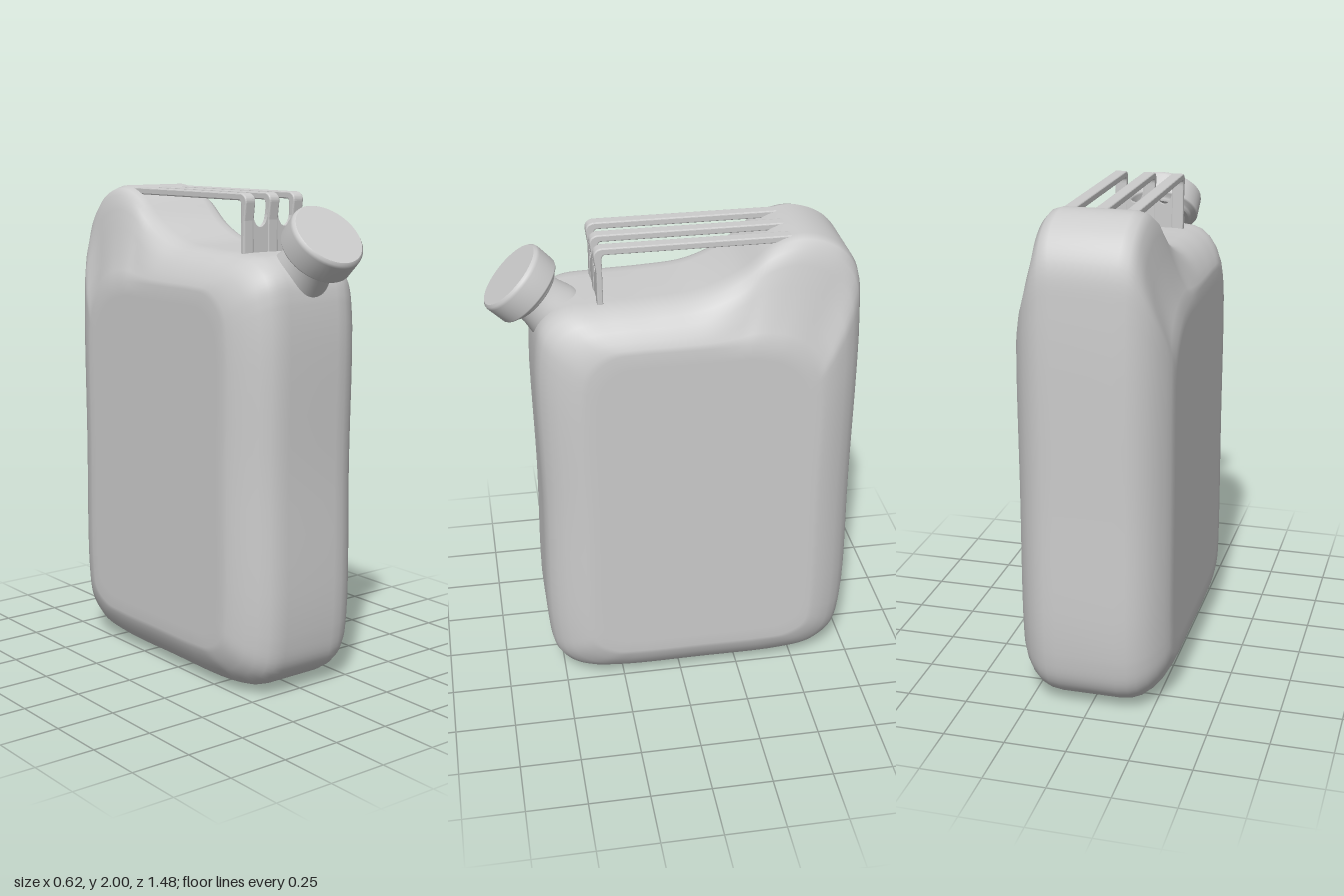
import * as THREE from 'three';

const material = new THREE.MeshStandardMaterial({ color: 0xcccccc, roughness: 0.6 });

function add(parent, name, geometry) {
  const mesh = new THREE.Mesh(geometry, material);
  mesh.name = name;
  parent.add(mesh);
  return mesh;
}

// Side outline of the can (z, y): front, shoulder, grip hollow, hump, back, base
const OUTER = [
  [0.56, 0.26], [0.56, 0.9], [0.56, 1.58], [0.53, 1.69], [0.45, 1.75], [0.3, 1.765],
  [0.1, 1.772], [-0.08, 1.79], [-0.24, 1.86], [-0.37, 1.965], [-0.47, 2], [-0.56, 1.99],
  [-0.65, 1.94], [-0.715, 1.84], [-0.735, 1.65], [-0.737, 0.9], [-0.735, 0.26], [-0.7, 0.11],
  [-0.62, 0.035], [-0.48, 0.005], [-0.1, 0], [0.3, 0.005], [0.45, 0.035], [0.53, 0.11],
];
// Matching outline of the flat side panel
const PANEL = [
  [0.38, 0.32], [0.38, 0.9], [0.38, 1.46], [0.35, 1.55], [0.27, 1.61], [0.17, 1.62],
  [0.03, 1.62], [-0.1, 1.62], [-0.2, 1.62], [-0.28, 1.62], [-0.34, 1.61], [-0.41, 1.59],
  [-0.48, 1.54], [-0.53, 1.47], [-0.55, 1.38], [-0.55, 0.9], [-0.55, 0.32], [-0.53, 0.23],
  [-0.45, 0.18], [-0.33, 0.17], [-0.1, 0.17], [0.18, 0.17], [0.28, 0.18], [0.36, 0.23],
];
// Edge rounding: step from outline to panel, half width, half width on the hump
const EDGE = [
  [0, 0.12, 0.14], [0.03, 0.165, 0.175], [0.1, 0.2, 0.2], [0.25, 0.237, 0.218],
  [0.45, 0.268, 0.237], [0.7, 0.293, 0.265], [0.88, 0.304, 0.291], [1, 0.31, 0.31],
];

function outline(points) {
  const curve = new THREE.CatmullRomCurve3(
    points.map(([z, y]) => new THREE.Vector3(0, y, z)), true, 'centripetal');
  const n = points.length * 6;
  return Array.from({ length: n }, (_, i) => curve.getPoint(i / n));
}

function bodyGeometry() {
  const outer = outline(OUTER), panel = outline(PANEL), n = outer.length;
  const centre = new THREE.Vector3(0, 0.9, -0.085);

  // Half of the rings, from the middle outwards, then closed to the panel centre
  const half = EDGE.map(([t, wide, narrow]) => outer.map((p, i) => {
    const w = THREE.MathUtils.smoothstep(p.y, 1.74, 1.96);
    const v = p.clone().lerp(panel[i], t);
    v.x = THREE.MathUtils.lerp(wide, narrow, w);
    return v;
  }));
  for (const s of [0.92, 0.5, 0]) {
    half.push(panel.map((p) => {
      const v = centre.clone().lerp(p, s);
      v.x = 0.31;
      return v;
    }));
  }
  const mirrored = half.map((r) => r.map((v) => new THREE.Vector3(-v.x, v.y, v.z))).reverse();
  const rings = [...mirrored, ...half];

  const position = [], index = [];
  rings.forEach((ring) => ring.forEach((v) => position.push(v.x, v.y, v.z)));
  for (let j = 0; j < rings.length - 1; j++) {
    for (let i = 0; i < n; i++) {
      const a = j * n + i, b = j * n + (i + 1) % n, c = a + n, d = b + n;
      index.push(a, c, b, c, d, b);
    }
  }
  const g = new THREE.BufferGeometry();
  g.setAttribute('position', new THREE.Float32BufferAttribute(position, 3));
  g.setIndex(index);
  g.computeVertexNormals();
  return g;
}

const lathe = (profile) => new THREE.LatheGeometry(
  profile.map(([r, y]) => new THREE.Vector2(r, y)), 48);

// One bent handle bar, drawn in (z, y) and extruded across x
function barGeometry() {
  const s = new THREE.Shape();
  s.moveTo(-0.45, 1.972);
  s.lineTo(0.28, 1.972);
  s.quadraticCurveTo(0.294, 1.968, 0.294, 1.945);
  s.lineTo(0.292, 1.75);
  s.lineTo(0.306, 1.75);
  s.lineTo(0.306, 1.89);
  s.lineTo(0.316, 1.96);
  s.quadraticCurveTo(0.318, 1.984, 0.29, 1.99);
  s.lineTo(-0.45, 1.99);
  s.closePath();
  const g = new THREE.ExtrudeGeometry(s, {
    depth: 0.036, bevelEnabled: true, bevelSize: 0.005, bevelThickness: 0.007,
    bevelSegments: 3, curveSegments: 8,
  });
  g.translate(0, 0, -0.018);
  g.rotateY(-Math.PI / 2); // shape x becomes model z
  return g;
}

// Upright plate joining the bars, with a rounded dip between them
function plateGeometry() {
  const s = new THREE.Shape();
  s.moveTo(-0.145, 1.73);
  s.lineTo(0.145, 1.73);
  s.lineTo(0.145, 1.93);
  s.lineTo(0.1, 1.93);
  s.bezierCurveTo(0.1, 1.84, 0.025, 1.84, 0.025, 1.93);
  s.lineTo(-0.025, 1.93);
  s.bezierCurveTo(-0.025, 1.84, -0.1, 1.84, -0.1, 1.93);
  s.lineTo(-0.145, 1.93);
  s.closePath();
  const g = new THREE.ExtrudeGeometry(s, { depth: 0.018, bevelEnabled: false, curveSegments: 12 });
  g.translate(0, 0, 0.29);
  return g;
}

export function createModel() {
  const model = new THREE.Group();
  model.name = 'jerrycan';
  add(model, 'body', bodyGeometry());

  // Spout and screw cap, tilted forward
  const spout = new THREE.Group();
  spout.name = 'spout';
  spout.position.set(0.005, 1.85, 0.635);
  spout.rotation.x = Math.PI / 4;
  add(spout, 'neck', lathe([[0.125, -0.36], [0.122, -0.26], [0.117, -0.22], [0.105, -0.17], [0.1, -0.12]]));
  add(spout, 'cap', lathe([
    [0, -0.13], [0.118, -0.13], [0.118, -0.13], [0.128, -0.122], [0.13, -0.112], [0.148, -0.108],
    [0.153, -0.1], [0.155, -0.02], [0.152, -0.008], [0.143, 0], [0.143, 0], [0, 0],
  ]));
  model.add(spout);

  // Three-bar carrying handle
  const handle = new THREE.Group();
  handle.name = 'handle';
  for (const x of [-0.122, 0, 0.122]) add(handle, 'handleBar', barGeometry()).position.x = x;
  add(handle, 'handlePlate', plateGeometry());
  model.add(handle);

  return model;
}
